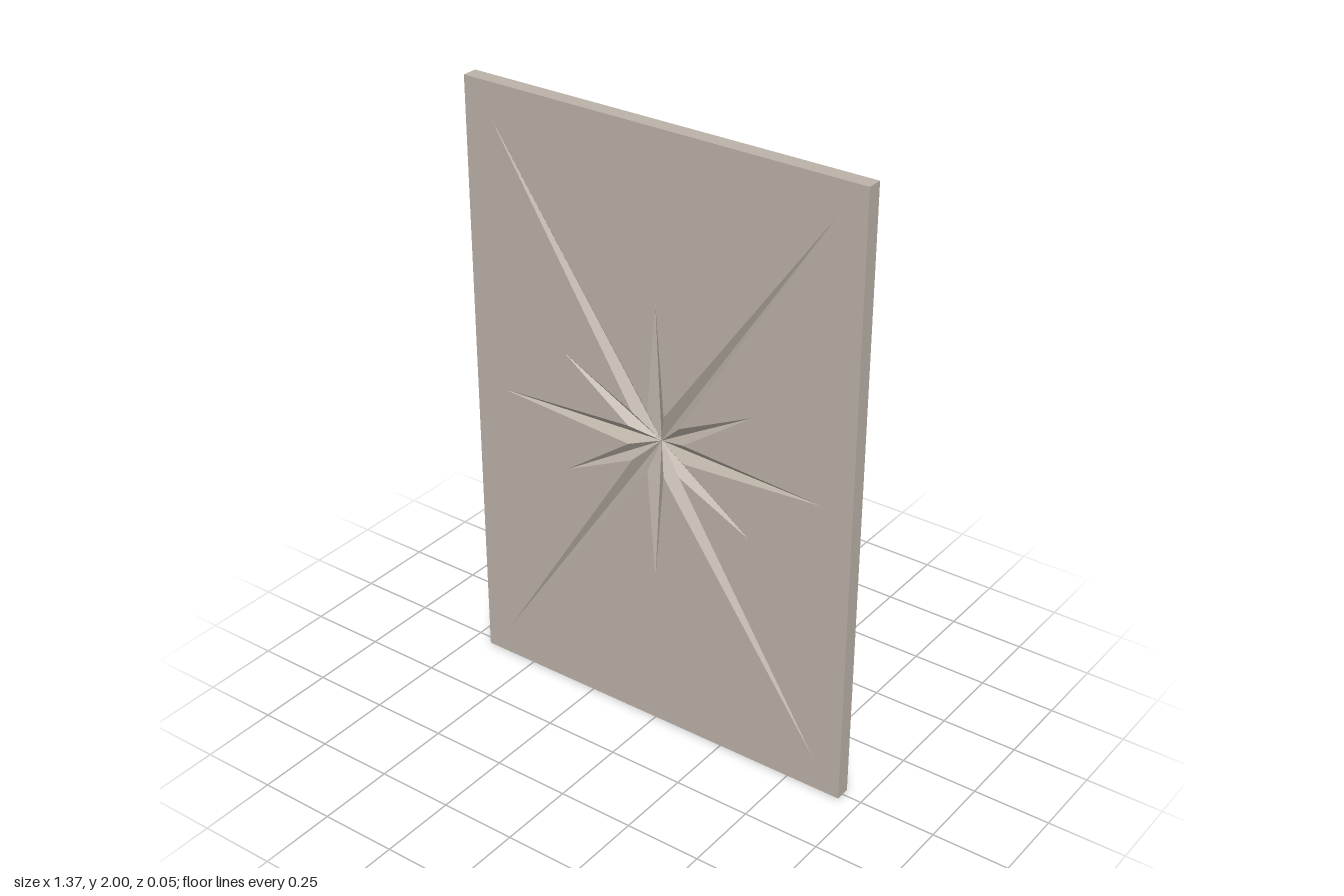
import * as THREE from 'three';

const W = 1.37, H = 2, T = 0.05; // slab size
const CARVE = 0.032;             // depth of the star at its centre

// Star outline, counter-clockwise: ray tips alternate with the notches between them
function starOutline() {
  const quarter = [
    [0.585, 0], [0.1, 0.031], [0.338, 0.203], [0.087, 0.083],
    [0.59, 0.89], [0.03, 0.101], [0, 0.473],
  ];
  const mirrored = quarter.slice(0, -1).reverse().map(([x, y]) => [-x, y]);
  const upper = [...quarter, ...mirrored];
  const lower = upper.slice(1, -1).map(([x, y]) => [-x, -y]);
  return [...upper, ...lower].map(([x, y]) => new THREE.Vector2(x, y));
}

export function createModel() {
  const group = new THREE.Group();
  group.name = 'carvedPanel';
  const material = new THREE.MeshStandardMaterial({ color: 0xbcb3a8, flatShading: true });
  const add = (geometry, name, z) => {
    const mesh = new THREE.Mesh(geometry, material);
    mesh.name = name;
    mesh.position.set(0, H / 2, z);
    group.add(mesh);
  };
  const star = starOutline();

  // Slab sides and back: a box without its front face
  const slab = new THREE.BoxGeometry(W, H, T);
  const index = Array.from(slab.index.array);
  index.splice(24, 6);
  slab.setIndex(index);
  slab.clearGroups();
  add(slab, 'slab', 0);

  // Front face with the star cut out
  const face = new THREE.Shape([
    new THREE.Vector2(-W / 2, -H / 2), new THREE.Vector2(W / 2, -H / 2),
    new THREE.Vector2(W / 2, H / 2), new THREE.Vector2(-W / 2, H / 2),
  ]);
  face.holes.push(new THREE.Path(star.slice().reverse()));
  add(new THREE.ShapeGeometry(face), 'frontFace', T / 2);

  // Carved star: facets falling from the outline to one deep centre point
  const positions = [];
  star.forEach((a, i) => {
    const b = star[(i + 1) % star.length];
    positions.push(0, 0, -CARVE, a.x, a.y, 0, b.x, b.y, 0);
  });
  const carving = new THREE.BufferGeometry();
  carving.setAttribute('position', new THREE.Float32BufferAttribute(positions, 3));
  carving.computeVertexNormals();
  add(carving, 'carvedStar', T / 2);

  return group;
}
